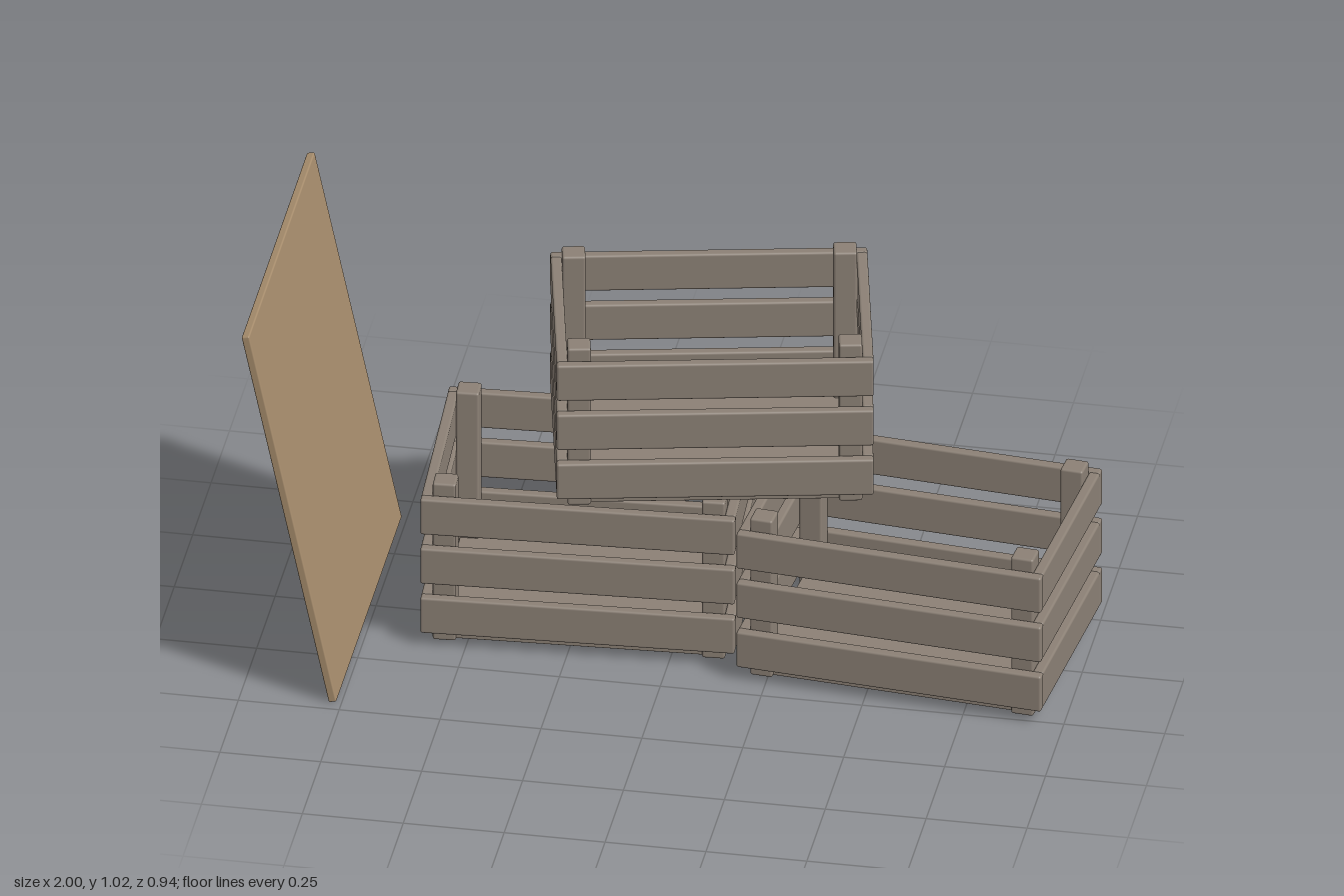
import * as THREE from 'three';
import { RoundedBoxGeometry } from 'three/addons/geometries/RoundedBoxGeometry.js';

const crateWood = new THREE.MeshStandardMaterial({ color: 0x8b8075 });
crateWood.name = 'weathered grey wood';
const boardWood = new THREE.MeshStandardMaterial({ color: 0xa68c6c });
boardWood.name = 'tan plywood';

// Crate dimensions
const W = 0.773, D = 0.546, T = 0.027, POST = 0.057;
const SLAT_H = 0.1, SLAT_STEP = 0.14;

function block(name, w, h, d, x, y, z, material, radius = 0.006) {
  const mesh = new THREE.Mesh(new RoundedBoxGeometry(w, h, d, 2, radius), material);
  mesh.name = name;
  mesh.position.set(x, y, z);
  return mesh;
}

function crate(name, x, y, z, turn) {
  const g = new THREE.Group();
  g.name = name;
  g.position.set(x, y, z);
  g.rotation.y = turn;

  // Floor panel, slightly clear of the slats
  g.add(block('floorPanel', W - 2 * T - 0.02, 0.03, D - 2 * T - 0.02, 0, 0.026, 0, crateWood, 0.002));

  for (const s of [-1, 1]) {
    // Corner posts
    for (const e of [-1, 1]) {
      g.add(block('cornerPost', POST, 0.444, POST,
        s * (W / 2 - T - POST / 2), 0.23, e * (D / 2 - T - POST / 2), crateWood));
    }
    // Three rows of slats on every side
    for (let i = 0; i < 3; i++) {
      const sy = 0.09 + i * SLAT_STEP;
      g.add(block('longSlat', W, SLAT_H, T, 0, sy, s * (D - T) / 2, crateWood));
      g.add(block('endSlat', T, SLAT_H, D - 2 * T + 0.008, s * (W - T) / 2, sy, 0, crateWood));
    }
  }
  return g;
}

export function createModel() {
  const model = new THREE.Group();
  model.name = 'stackedCrates';

  model.add(crate('leftCrate', 0.588, 0, -0.045, -0.1));
  model.add(crate('rightCrate', -0.238, 0, -0.124, 0.05));
  model.add(crate('topCrate', 0.06, 0.45, -0.123, 0.21));

  // Leaning board
  const board = block('leaningBoard', 0.02, 1.038, 0.89, -0.88, 0.513, 0.025, boardWood, 0.004);
  board.rotation.z = 0.21;
  model.add(board);

  return model;
}
